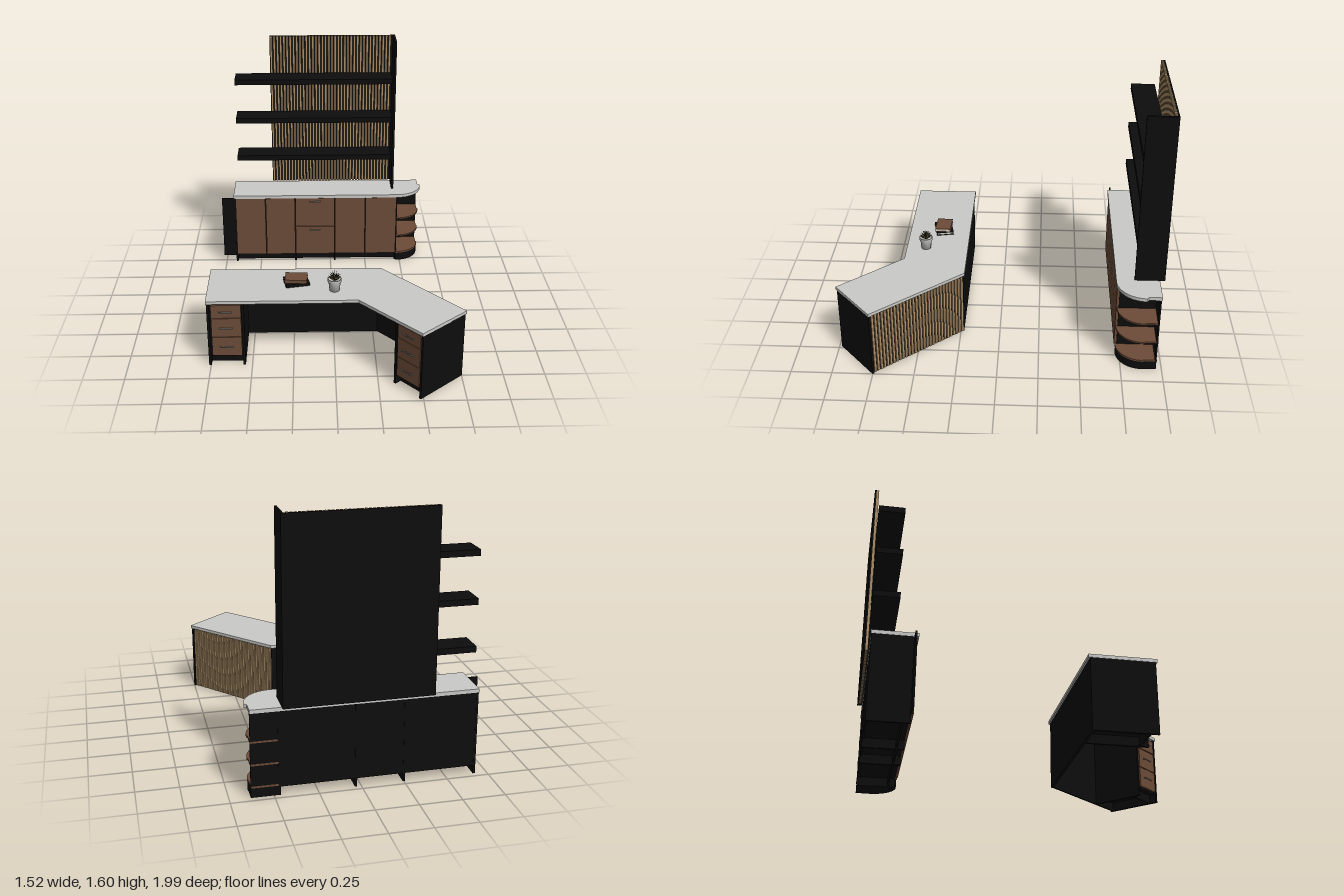
import * as THREE from 'three';

const mat = (name, color) => Object.assign(new THREE.MeshStandardMaterial({ color }), { name });

export function createModel() {
  const black = mat('black laminate', 0x0d0d0d);
  const stone = mat('pale grey worktop', 0xcacac8);
  const brown = mat('brown wood', 0x6d4c38);
  const tan = mat('tan slat wood', 0xae9068);
  const metal = mat('handle metal', 0x8e8e8c);
  const ceramic = mat('pot ceramic', 0xc4c4c2);
  const leafDark = mat('dark leaf', 0x2f2a1c);
  const paper = mat('paper', 0xd8d4c8);

  const root = new THREE.Group();
  root.name = 'officeFurniture';

  const group = (name, parent = root) => {
    const g = new THREE.Group();
    g.name = name;
    parent.add(g);
    return g;
  };
  const add = (parent, name, geo, material) => {
    const m = new THREE.Mesh(geo, material);
    m.name = name;
    parent.add(m);
    return m;
  };
  // Box given by its lower and upper bounds on each axis
  const box = (parent, name, material, x0, x1, y0, y1, z0, z1) => {
    const m = add(parent, name, new THREE.BoxGeometry(x1 - x0, y1 - y0, z1 - z0), material);
    m.position.set((x0 + x1) / 2, (y0 + y1) / 2, (z0 + z1) / 2);
    return m;
  };
  // Horizontal slab from an (x, z) outline
  const slab = (parent, name, material, shape, y0, y1) => {
    const geo = new THREE.ExtrudeGeometry(shape, { depth: y1 - y0, bevelEnabled: false, curveSegments: 20 });
    geo.rotateX(Math.PI / 2);
    geo.translate(0, y1, 0);
    return add(parent, name, geo, material);
  };
  // Bar handle standing on two posts in front of a face at z
  const handle = (parent, x, y, z, w = 0.08) => {
    const g = group('handle', parent);
    box(g, 'handleBar', metal, x - w / 2, x + w / 2, y - 0.003, y + 0.003, z + 0.008, z + 0.013);
    for (const s of [-1, 1]) {
      const px = x + s * (w / 2 - 0.003);
      box(g, 'handlePost', metal, px - 0.003, px + 0.003, y - 0.003, y + 0.003, z, z + 0.009);
    }
  };
  const slats = (parent, x0, x1, y0, y1, z0, z1, count) => {
    const g = group('slats', parent);
    const pitch = (x1 - x0) / count;
    for (let i = 0; i < count; i++) {
      const x = x0 + (i + 0.5) * pitch;
      box(g, 'slat', tan, x - pitch * 0.33, x + pitch * 0.33, y0, y1, z0, z1);
    }
  };
  // Three-drawer pedestal between two side panels that reach the floor
  const pedestal = (parent, x0, x1, z0, z1) => {
    const g = group('drawerPedestal', parent);
    box(g, 'carcass', black, x0 + 0.01, x1 - 0.01, 0.055, 0.425, z0, z1 - 0.015);
    box(g, 'plinth', black, x0 + 0.01, x1 - 0.01, 0, 0.056, z1 - 0.06, z1 - 0.048);
    for (const x of [x0, x1 - 0.015]) box(g, 'sidePanel', black, x, x + 0.015, 0, 0.425, z0, z1 - 0.004);
    for (const [y0, y1] of [[0.068, 0.196], [0.2, 0.325], [0.329, 0.415]]) {
      box(g, 'drawerFront', brown, x0 + 0.025, x1 - 0.018, y0, y1, z1 - 0.016, z1);
      handle(g, (x0 + x1) / 2, (y0 + y1) / 2, z1);
    }
  };

  // Angled desk
  const desk = group('desk');
  const top = new THREE.Shape([
    [-0.765, 0.22], [0.295, 0.22], [0.76, 0.75], [0.48, 0.993], [0.14, 0.615], [-0.765, 0.615],
  ].map(([x, z]) => new THREE.Vector2(x, z)));
  slab(desk, 'deskTop', stone, top, 0.425, 0.445);
  box(desk, 'modestyPanel', black, -0.762, 0.29, 0, 0.425, 0.23, 0.245);
  pedestal(desk, -0.762, -0.54, 0.24, 0.61);

  // Wing: local x runs along it, local z points to the sitter's side
  const wing = group('deskWing', desk);
  wing.position.set(0.295, 0, 0.22);
  wing.rotation.y = -0.85;
  box(wing, 'wingPanel', black, 0.005, 0.69, 0, 0.425, 0.018, 0.03);
  slats(wing, 0.005, 0.685, 0.005, 0.418, 0.008, 0.019, 30);
  pedestal(wing, 0.478, 0.698, 0.028, 0.363);
  box(wing, 'endPanel', black, 0.686, 0.7, 0, 0.425, 0.006, 0.363);

  // Credenza
  const credenza = group('credenza');
  const roundEnd = (x0, xEnd, zBack, zFront, straight) => {
    const s = new THREE.Shape();
    s.moveTo(x0, zBack);
    s.lineTo(0.63, zBack);
    s.lineTo(0.63, -0.89);
    s.lineTo(xEnd, -0.88);
    s.absellipse(straight, -0.88, xEnd - straight, zFront + 0.88, 0, Math.PI / 2, false);
    s.lineTo(x0, zFront);
    s.closePath();
    return s;
  };
  slab(credenza, 'credenzaTop', stone, roundEnd(-0.682, 0.645, -0.97, -0.708, 0.47), 0.504, 0.526);
  box(credenza, 'carcass', black, -0.675, 0.47, 0.055, 0.504, -0.962, -0.732);
  box(credenza, 'plinth', black, -0.67, 0.47, 0, 0.056, -0.78, -0.768);
  box(credenza, 'backPanel', black, -0.68, 0.63, 0.05, 0.504, -0.966, -0.956);
  for (const x of [-0.68, -0.257, 0.025, 0.462])
    box(credenza, 'uprightPanel', black, x, x + 0.013, 0, 0.504, -0.968, -0.731);
  // Doors and the two central drawers
  for (const [x0, x1] of [[-0.67, -0.461], [-0.457, -0.252], [0.033, 0.246], [0.25, 0.468]])
    box(credenza, 'door', brown, x0, x1, 0.062, 0.5, -0.732, -0.716);
  for (const [y0, y1] of [[0.062, 0.279], [0.283, 0.5]]) {
    box(credenza, 'drawerFront', brown, -0.248, 0.029, y0, y1, -0.732, -0.716);
    handle(credenza, -0.11, y1 - 0.022, -0.716);
  }
  box(credenza, 'sideLeaf', black, -0.765, -0.678, 0.05, 0.5, -0.735, -0.725);
  // Open rounded end shelves
  const nook = roundEnd(0.472, 0.636, -0.968, -0.72, 0.476);
  for (const y of [0.058, 0.192, 0.328]) slab(credenza, 'roundShelf', brown, nook, y, y + 0.011);
  slab(credenza, 'roundBase', black, roundEnd(0.472, 0.633, -0.966, -0.724, 0.476), 0, 0.058);

  // Slatted wall panel with floating shelves
  const wall = group('wallUnit');
  box(wall, 'wallPanel', black, -0.412, 0.44, 0.526, 1.6, -1, -0.989);
  slats(wall, -0.412, 0.425, 0.526, 1.6, -0.99, -0.974, 38);
  box(wall, 'sideFin', black, 0.436, 0.451, 0.526, 1.6, -1, -0.818);
  for (const y of [0.75, 1.027, 1.304])
    box(wall, 'shelf', black, -0.65, 0.428, y, y + 0.036, -0.974, -0.82);

  // Two stacked books
  const books = group('books');
  books.position.set(-0.23, 0.445, 0.395);
  const book = (cover, w, d, y, h, angle) => {
    const g = group('book', books);
    g.rotation.y = angle;
    box(g, 'pages', paper, -w / 2 + 0.003, w / 2 - 0.003, y + 0.003, y + h - 0.003, -d / 2 + 0.003, d / 2 - 0.003);
    box(g, 'lowerCover', cover, -w / 2, w / 2, y, y + 0.004, -d / 2, d / 2);
    box(g, 'upperCover', cover, -w / 2, w / 2, y + h - 0.004, y + h, -d / 2, d / 2);
    box(g, 'spine', cover, -w / 2, w / 2, y, y + h, d / 2 - 0.004, d / 2);
  };
  book(black, 0.145, 0.11, 0, 0.02, 0.2);
  book(brown, 0.135, 0.1, 0.021, 0.022, -0.04);

  // Potted succulent
  const plant = group('pottedPlant');
  plant.position.set(0, 0.445, 0.49);
  const profile = [[0, 0], [0.03, 0], [0.037, 0.058], [0.041, 0.058], [0.042, 0.078], [0.038, 0.078], [0.036, 0.068], [0, 0.068]]
    .map(([r, y]) => new THREE.Vector2(r, y));
  add(plant, 'pot', new THREE.LatheGeometry(profile, 24), ceramic);
  const up = new THREE.Vector3(0, 1, 0);
  [[11, 1.0, 0.05], [9, 0.6, 0.056], [6, 0.25, 0.06]].forEach(([n, tilt, len], ring) => {
    for (let i = 0; i < n; i++) {
      const a = (i / n) * Math.PI * 2 + ring * 0.3;
      const dir = new THREE.Vector3(Math.sin(tilt) * Math.cos(a), Math.cos(tilt), Math.sin(tilt) * Math.sin(a));
      const geo = new THREE.ConeGeometry(0.007, len, 6);
      geo.translate(0, len / 2, 0);
      const leaf = add(plant, 'leaf', geo, i % 3 === 1 ? tan : leafDark);
      leaf.quaternion.setFromUnitVectors(up, dir);
      leaf.position.set(0, 0.068, 0);
    }
  });

  return root;
}
